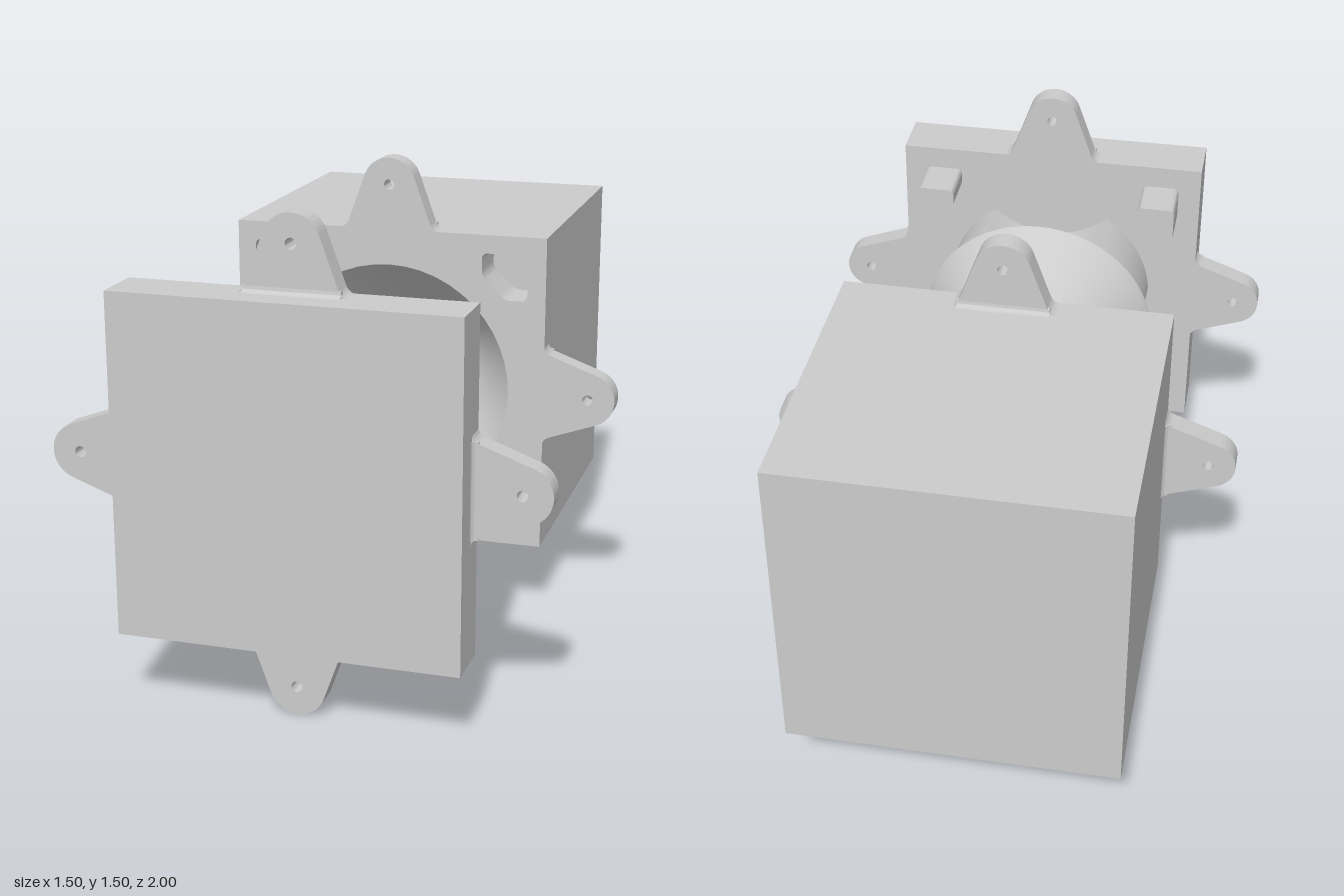
import * as THREE from 'three';
import { toCreasedNormals } from 'three/addons/utils/BufferGeometryUtils.js';

const grey = new THREE.MeshStandardMaterial({ color: 0xcccccc });
const greyDouble = new THREE.MeshStandardMaterial({ color: 0xcccccc, side: THREE.DoubleSide });
const HALF = 0.52;      // half width of the square bodies
const CENTRE_Y = 0.755;
const PARTING = { front: 0.83, back: -0.04 };

function part(name, geometry, material = grey) {
  const mesh = new THREE.Mesh(toCreasedNormals(geometry, 0.5), material);
  mesh.name = name;
  return mesh;
}

function extrude(shape, z0, z1) {
  const g = new THREE.ExtrudeGeometry(shape, { depth: z1 - z0, bevelEnabled: false, curveSegments: 24 });
  return g.translate(0, 0, z0);
}

function circlePath(x, y, r) {
  return new THREE.Path().absarc(x, y, r, 0, Math.PI * 2, true);
}

function square() {
  return new THREE.Shape([[-1, -1], [1, -1], [1, 1], [-1, 1]].map(([x, y]) => new THREE.Vector2(x * HALF, y * HALF)));
}

// Corner square whose inner corner is cut off, with slightly rounded corners
function keyOutline(target, sx, sy, a, b) {
  const m = (a + b) / 2, r = 0.02;
  const pts = [[m, a], [b, a], [b, b], [a, b], [a, m]].map(([x, y]) => new THREE.Vector2(x * sx, y * sy));
  if (sx * sy < 0) pts.reverse();
  pts.forEach((p, i) => {
    const prev = pts[(i + 4) % 5], next = pts[(i + 1) % 5];
    const p0 = p.clone().add(prev.clone().sub(p).setLength(r));
    const p1 = p.clone().add(next.clone().sub(p).setLength(r));
    if (i === 0) target.moveTo(p0.x, p0.y);
    else target.lineTo(p0.x, p0.y);
    target.quadraticCurveTo(p.x, p.y, p1.x, p1.y);
  });
  target.closePath();
  return target;
}

const corners = [[1, 1], [-1, 1], [-1, -1], [1, -1]];

// Mounting ear with bolt hole and a fillet on the side away from the parting plane
function createEar() {
  const ear = new THREE.Group();
  ear.name = 'mountingEar';
  const s = new THREE.Shape();
  const tilt = 0.33;
  s.moveTo(-0.16, 0.5);
  s.lineTo(0.16, 0.5);
  s.lineTo(0.16, HALF);
  s.quadraticCurveTo(0.143, 0.525, 0.136, 0.545);
  s.absarc(0, 0.665, 0.087, tilt, Math.PI - tilt, false);
  s.lineTo(-0.136, 0.545);
  s.quadraticCurveTo(-0.143, 0.525, -0.16, HALF);
  s.closePath();
  s.holes.push(circlePath(0, 0.665, 0.017));
  ear.add(part('earPlate', extrude(s, 0, 0.07)));

  // Profile: x = distance from the body, y = depth, swept across the ear
  const f = new THREE.Shape();
  f.moveTo(-0.01, 0.06);
  f.lineTo(0.02, 0.06);
  f.lineTo(0.02, 0.07);
  f.quadraticCurveTo(0, 0.07, 0, 0.088);
  f.lineTo(-0.01, 0.088);
  f.closePath();
  const g = extrude(f, -0.145, 0.145);
  g.applyMatrix4(new THREE.Matrix4().makeBasis(
    new THREE.Vector3(0, 1, 0), new THREE.Vector3(0, 0, 1), new THREE.Vector3(1, 0, 0)));
  ear.add(part('earFillet', g.translate(0, HALF, 0)));
  return ear;
}

function addEars(half) {
  for (let i = 0; i < 4; i++) {
    const ear = createEar();
    ear.rotation.z = i * Math.PI / 2;
    half.add(ear);
  }
}

// Revolve [radius, z] points about the z axis
function revolve(points) {
  return new THREE.LatheGeometry(points.map(([r, z]) => new THREE.Vector2(r, z)), 64).rotateX(Math.PI / 2);
}

// Three-lobed cross-section with scooped valleys
function lobedShape() {
  const s = new THREE.Shape();
  const R = 0.358, span = 26 * Math.PI / 180;
  for (let i = 0; i < 3; i++) {
    const a = Math.PI / 6 + i * Math.PI * 2 / 3;
    s.absarc(0, 0, R, a - span, a + span, false);
    const valley = a + Math.PI / 3, end = a + Math.PI * 2 / 3 - span;
    s.quadraticCurveTo(0.14 * Math.cos(valley), 0.14 * Math.sin(valley), R * Math.cos(end), R * Math.sin(end));
  }
  return s;
}

// Plate with lobed core, funnel plug and corner keys; local z = 0 is the parting plane
function createFrontHalf() {
  const half = new THREE.Group();
  half.name = 'frontHalf';
  half.add(part('frontPlate', extrude(square(), 0, 0.17)));
  half.add(part('lobedCore', extrude(lobedShape(), -0.256, 0)));
  const plug = [
    [0, -0.88], [0.11, -0.88], [0.11, -0.69], [0.115, -0.66], [0.126, -0.635], [0.142, -0.61],
    [0.365, -0.305], [0.384, -0.28], [0.395, -0.265], [0.4, -0.255], [0, -0.255],
  ];
  half.add(part('funnelPlug', revolve(plug), greyDouble));
  for (const [sx, sy] of corners) {
    half.add(part('cornerKey', extrude(keyOutline(new THREE.Shape(), sx, sy, 0.32, 0.445), -0.15, 0)));
  }
  addEars(half);
  return half;
}

// Block with funnel cavity and key pockets; built facing the same way, then turned round
function createBackHalf() {
  const half = new THREE.Group();
  half.name = 'backHalf';
  const mouthDepth = 0.16, mouth = 0.403;
  const face = square();
  face.holes.push(circlePath(0, 0, mouth));
  for (const [sx, sy] of corners) face.holes.push(keyOutline(new THREE.Path(), sx, sy, 0.31, 0.46));
  half.add(part('blockFace', extrude(face, 0, mouthDepth)));

  const body = square();
  body.holes.push(circlePath(0, 0, mouth));
  half.add(part('blockBody', extrude(body, mouthDepth, 0.9)));
  half.add(part('blockBack', extrude(square(), 0.9, 0.96)));

  const cavity = [
    [mouth, mouthDepth], [0.39, 0.19], [0.37, 0.22], [0.145, 0.55], [0.125, 0.58],
    [0.115, 0.61], [0.113, 0.64], [0.113, 0.87], [0, 0.87],
  ];
  half.add(part('funnelCavity', revolve(cavity), greyDouble));
  addEars(half);
  half.rotation.y = Math.PI;
  return half;
}

export function createModel() {
  const model = new THREE.Group();
  model.name = 'twoPartMould';
  const front = createFrontHalf();
  const back = createBackHalf();
  front.position.set(0, CENTRE_Y, PARTING.front);
  back.position.set(0, CENTRE_Y, PARTING.back);
  model.add(front, back);
  return model;
}
